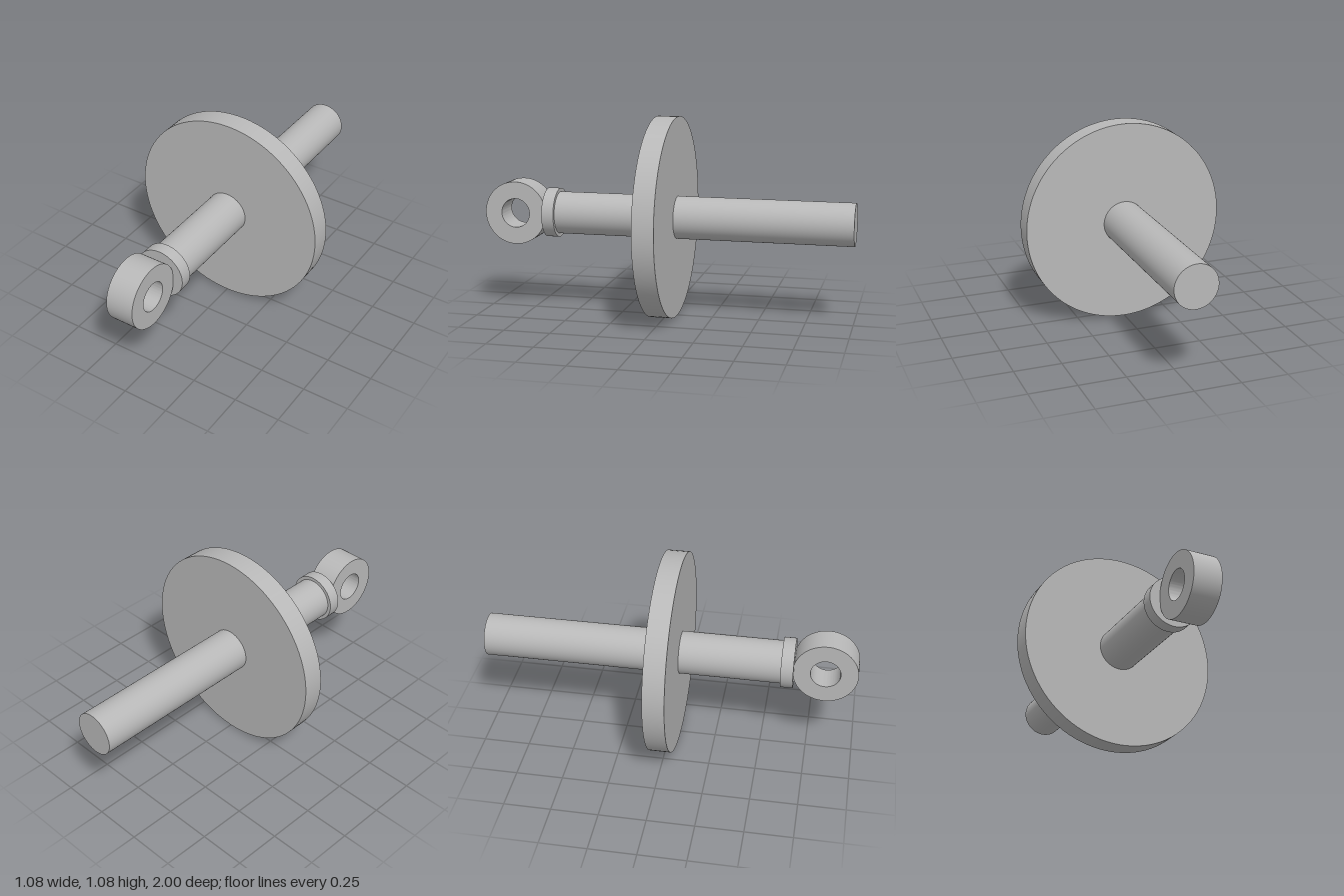
import * as THREE from 'three';
import { toCreasedNormals } from 'three/addons/utils/BufferGeometryUtils.js';

const AXIS_Y = 0.5375; // height of the shaft axis

export function createModel() {
  const model = new THREE.Group();
  model.name = 'eyeShaftWithDisc';
  const steel = new THREE.MeshStandardMaterial({ color: 0xb8b8b8 });
  steel.name = 'steel grey';

  const add = (name, geometry, z) => {
    const mesh = new THREE.Mesh(geometry, steel);
    mesh.name = name;
    mesh.position.set(0, AXIS_Y, z);
    model.add(mesh);
  };

  // Round solid lying along z
  const round = (name, radius, zBack, zFront) => {
    const geometry = new THREE.CylinderGeometry(radius, radius, zFront - zBack, 96);
    geometry.rotateX(Math.PI / 2);
    add(name, geometry, (zBack + zFront) / 2);
  };

  round('shaft', 0.114, -1, 0.6);
  round('disc', AXIS_Y, -0.057, 0.057);
  round('collar', 0.133, 0.597, 0.663);

  // Eye ring at the front, with its hole running along x
  const width = 0.153;
  const ring = new THREE.Shape().absarc(0, 0, 0.171, 0, Math.PI * 2);
  ring.holes.push(new THREE.Path().absarc(0, 0, 0.079, 0, Math.PI * 2, true));
  const eye = new THREE.ExtrudeGeometry(ring, { depth: width, bevelEnabled: false, curveSegments: 40 });
  eye.translate(0, 0, -width / 2);
  eye.rotateY(Math.PI / 2);
  add('eyeRing', toCreasedNormals(eye, 0.6), 0.829);

  return model;
}
